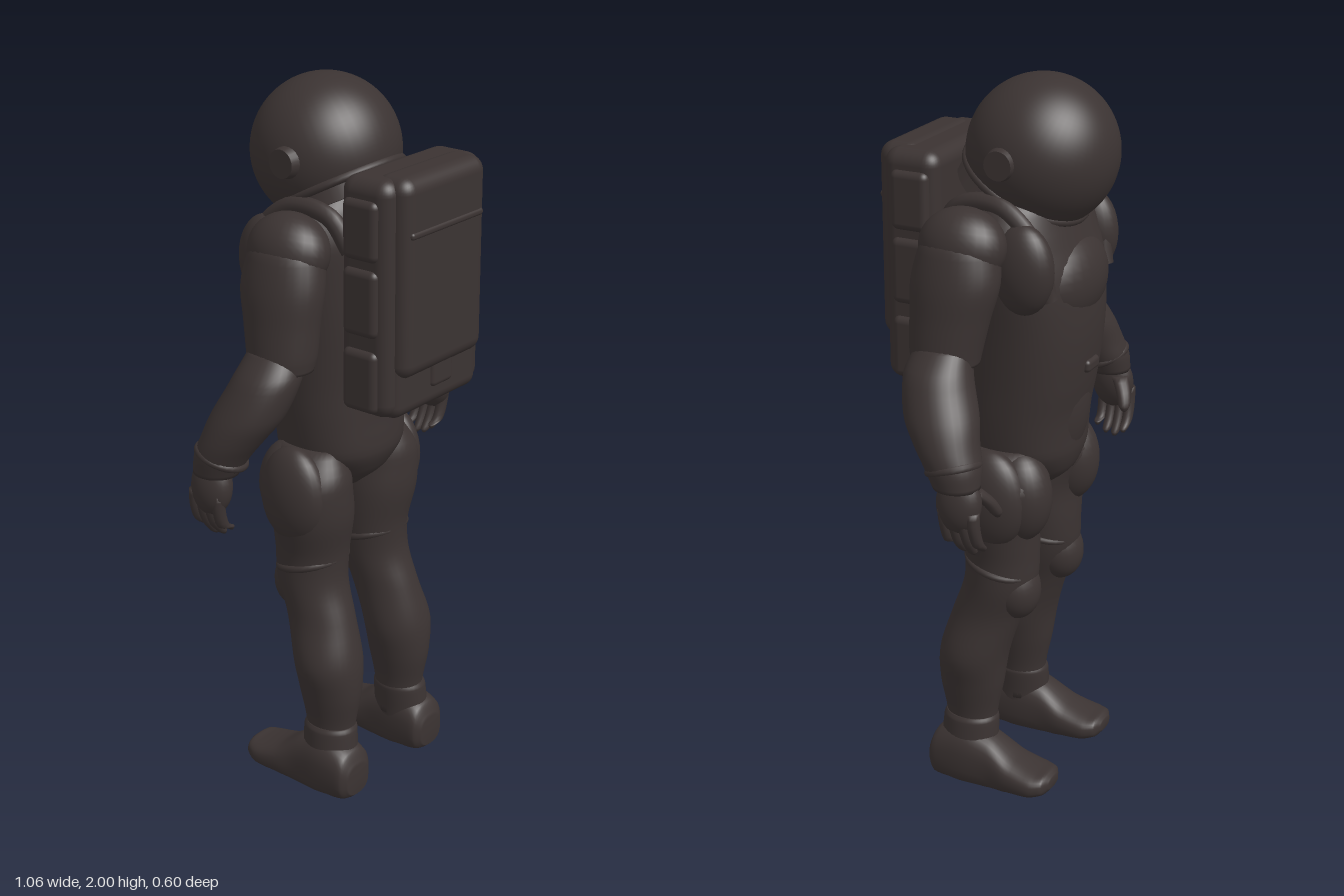
import * as THREE from 'three';
import { RoundedBoxGeometry } from 'three/addons/geometries/RoundedBoxGeometry.js';

const suit = new THREE.MeshStandardMaterial({ color: 0x3b3332 });
suit.name = 'dark suit';

// Smooth body through elliptical sections [x, y, z, r1, r2], stacked along y or z.
function loft(sections, { axis = 'y', power = 2, steps = 5, sides = 32, floor = -Infinity } = {}) {
  const k = axis === 'y' ? 1 : 2;
  const list = sections[0][k] < sections[sections.length - 1][k] ? sections : [...sections].reverse();
  const path = new THREE.CatmullRomCurve3(list.map(s => new THREE.Vector3(s[0], s[1], s[2])));
  const radii = new THREE.CatmullRomCurve3(list.map(s => new THREE.Vector3(s[3], s[4], 0)));
  const rows = (list.length - 1) * steps;
  const pos = [], idx = [];
  const bend = v => Math.sign(v) * Math.pow(Math.abs(v), 2 / power);
  const add = (x, y, z) => pos.push(x, Math.max(floor, y), z);
  for (let i = 0; i <= rows; i++) {
    const p = path.getPoint(i / rows), r = radii.getPoint(i / rows);
    for (let j = 0; j < sides; j++) {
      const a = j / sides * Math.PI * 2;
      const u = r.x * bend(Math.cos(a)), v = r.y * bend(Math.sin(a));
      if (axis === 'y') add(p.x + u, p.y, p.z + v);
      else add(p.x + u, p.y - v, p.z);
    }
  }
  for (let i = 0; i < rows; i++) for (let j = 0; j < sides; j++) {
    const a = i * sides + j, b = i * sides + (j + 1) % sides;
    idx.push(a, a + sides, b, b, a + sides, b + sides);
  }
  // End caps
  const first = list[0], last = list[list.length - 1], c = pos.length / 3, top = rows * sides;
  add(first[0], first[1], first[2]);
  add(last[0], last[1], last[2]);
  for (let j = 0; j < sides; j++) {
    const n = (j + 1) % sides;
    idx.push(c, j, n, c + 1, top + n, top + j);
  }
  const g = new THREE.BufferGeometry();
  g.setAttribute('position', new THREE.Float32BufferAttribute(pos, 3));
  g.setIndex(idx);
  g.computeVertexNormals();
  return g;
}

export function createModel() {
  const model = new THREE.Group();
  model.name = 'spacesuit figure';
  const part = (name, geometry, x = 0, y = 0, z = 0, rx = 0, ry = 0, rz = 0) => {
    const m = new THREE.Mesh(geometry, suit);
    m.name = name;
    m.position.set(x, y, z);
    m.rotation.set(rx, ry, rz);
    model.add(m);
    return m;
  };
  const blob = (name, x, y, z, a, b, c, rx = 0, rz = 0) =>
    part(name, new THREE.SphereGeometry(1, 28, 18).scale(a, b, c), x, y, z, rx, 0, rz);
  const box = (name, w, h, d, x, y, z, r = 0.03) =>
    part(name, new RoundedBoxGeometry(w, h, d, 4, r), x, y, z);

  // Torso, chest and belly panel
  part('torso', loft([
    [0, 0.87, -0.06, 0.04, 0.06], [0, 0.93, -0.06, 0.12, 0.13], [0, 1.0, -0.055, 0.175, 0.158],
    [0, 1.1, -0.06, 0.187, 0.16], [0, 1.2, -0.07, 0.195, 0.168], [0, 1.35, -0.075, 0.21, 0.178],
    [0, 1.5, -0.07, 0.23, 0.172], [0, 1.6, -0.055, 0.235, 0.155], [0, 1.68, -0.05, 0.2, 0.135],
    [0, 1.74, -0.05, 0.13, 0.11],
  ], { power: 2.3, sides: 48 }));
  blob('chestPlate', 0, 1.47, -0.16, 0.17, 0.13, 0.105);
  blob('bellyPanel', 0, 1.13, -0.14, 0.12, 0.2, 0.09);
  box('beltUnit', 0.07, 0.035, 0.03, 0, 1.24, -0.24, 0.012);

  // Helmet with a tilted rim
  const helmet = new THREE.Group();
  helmet.name = 'helmet';
  helmet.position.set(0, 1.8, -0.1);
  helmet.rotation.x = -0.5;
  const shell = part('helmetShell', new THREE.SphereGeometry(0.2, 48, 32, 0, Math.PI * 2, 0, Math.PI * 0.667));
  const under = part('helmetBase', new THREE.CircleGeometry(0.173, 48), 0, -0.1, 0, Math.PI / 2);
  const rim = part('helmetRim', new THREE.TorusGeometry(0.172, 0.012, 12, 48), 0, -0.098, 0, Math.PI / 2);
  const collar = part('neckRing', new THREE.CylinderGeometry(0.16, 0.175, 0.05, 48), 0, -0.122, 0);
  helmet.add(shell, under, rim, collar);
  model.add(helmet);

  // Backpack
  box('packBody', 0.41, 0.63, 0.16, 0, 1.495, 0.185, 0.04);
  box('packBackPanel', 0.345, 0.53, 0.12, 0, 1.55, 0.238, 0.04);
  box('packLowerPocket', 0.36, 0.2, 0.1, 0, 1.275, 0.225, 0.035);
  box('packFlap', 0.09, 0.17, 0.04, 0.01, 1.315, 0.265, 0.015);
  box('packRidge', 0.3, 0.02, 0.03, 0, 1.67, 0.287, 0.009);

  for (const s of [1, -1]) {
    const side = s > 0 ? 'left' : 'right';
    const named = n => side + n;
    const mirrored = list => list.map(([x, ...rest]) => [x * s, ...rest]);

    // Helmet ear cap
    part(named('EarCap'), new THREE.CylinderGeometry(0.038, 0.05, 0.05, 24), s * 0.187, 1.805, -0.075, 0, 0, -s * Math.PI / 2);

    // Pack side pouches
    for (const [y, h] of [[1.28, 0.17], [1.49, 0.18], [1.68, 0.16]])
      box(named('PackPouch'), 0.05, h, 0.11, s * 0.194, y, 0.18, 0.02);

    // Shoulder strap
    part(named('Strap'), new THREE.TubeGeometry(new THREE.CatmullRomCurve3([
      new THREE.Vector3(s * 0.16, 1.6, 0.11), new THREE.Vector3(s * 0.17, 1.68, 0.05),
      new THREE.Vector3(s * 0.18, 1.69, -0.07), new THREE.Vector3(s * 0.185, 1.6, -0.17),
      new THREE.Vector3(s * 0.17, 1.46, -0.2),
    ]), 30, 0.025, 10));
    blob(named('ChestPad'), s * 0.195, 1.54, -0.14, 0.058, 0.12, 0.085);

    // Upper arm: shoulder cap, sleeve and cuff
    blob(named('ShoulderCap'), s * 0.265, 1.605, -0.005, 0.09, 0.1, 0.118, 0, s * 0.3);
    part(named('UpperArm'), loft(mirrored([
      [0.26, 1.66, -0.005, 0.05, 0.07], [0.275, 1.61, -0.002, 0.085, 0.105],
      [0.295, 1.52, 0, 0.09, 0.12], [0.31, 1.43, 0.008, 0.085, 0.108],
      [0.32, 1.35, 0.015, 0.083, 0.098], [0.325, 1.315, 0.015, 0.078, 0.092],
    ])));

    // Forearm
    part(named('Forearm'), loft(mirrored([
      [0.335, 1.37, 0.01, 0.06, 0.07], [0.37, 1.3, 0.01, 0.088, 0.09],
      [0.41, 1.21, -0.018, 0.092, 0.098], [0.44, 1.14, -0.05, 0.083, 0.085],
      [0.455, 1.09, -0.075, 0.073, 0.075], [0.465, 1.04, -0.09, 0.058, 0.062],
    ])));
    part(named('GloveCuff'), new THREE.TorusGeometry(0.063, 0.012, 10, 28), s * 0.457, 1.085, -0.077, Math.PI / 2 + 0.3, s * 0.2, 0);

    // Hand with four fingers and a thumb
    blob(named('Palm'), s * 0.472, 1.0, -0.1, 0.044, 0.08, 0.062, 0, s * 0.1);
    for (let i = 0; i < 4; i++) {
      const z = -0.145 + i * 0.027, tip = 0.845 + [0.015, 0, 0.005, 0.025][i];
      part(named('Finger'), loft(mirrored([
        [0.485, 0.985, z, 0.02, 0.018], [0.483, 0.94, z - 0.003, 0.019, 0.016],
        [0.465, 0.89, z - 0.005, 0.018, 0.015], [0.442, tip + 0.01, z - 0.005, 0.014, 0.012],
        [0.436, tip, z - 0.005, 0.005, 0.005],
      ]), { sides: 12, steps: 3 }));
    }
    part(named('Thumb'), loft(mirrored([
      [0.45, 1.03, -0.13, 0.026, 0.024], [0.42, 0.995, -0.155, 0.022, 0.021],
      [0.4, 0.96, -0.168, 0.017, 0.017], [0.395, 0.945, -0.17, 0.007, 0.007],
    ]), { sides: 12, steps: 3 }));

    // Leg with hip, thigh and knee pads
    part(named('Leg'), loft(mirrored([
      [0.13, 1.02, -0.05, 0.06, 0.09], [0.145, 0.92, -0.055, 0.11, 0.133],
      [0.14, 0.82, -0.04, 0.112, 0.116], [0.131, 0.71, -0.048, 0.1, 0.104],
      [0.135, 0.62, -0.045, 0.094, 0.102], [0.142, 0.52, -0.01, 0.087, 0.1],
      [0.155, 0.4, 0.025, 0.097, 0.098], [0.155, 0.3, 0.034, 0.08, 0.092],
      [0.155, 0.2, 0.035, 0.062, 0.074], [0.155, 0.1, 0.035, 0.058, 0.07],
    ]), { sides: 36 }));
    blob(named('HipPad'), s * 0.205, 0.89, -0.05, 0.064, 0.14, 0.105);
    blob(named('ThighPad'), s * 0.15, 0.89, -0.11, 0.08, 0.13, 0.09);
    blob(named('KneePad'), s * 0.137, 0.61, -0.085, 0.075, 0.095, 0.075, 0.25);
    part(named('ThighBand'), new THREE.TorusGeometry(0.094, 0.011, 10, 32), s * 0.132, 0.675, -0.047, Math.PI / 2 - 0.25);

    // Boot shaft and foot, flat on the ground
    part(named('BootShaft'), loft(mirrored([
      [0.168, 0.05, 0.04, 0.07, 0.095], [0.163, 0.12, 0.038, 0.067, 0.084],
      [0.158, 0.185, 0.036, 0.067, 0.08], [0.157, 0.2, 0.036, 0.06, 0.073],
    ])));
    part(named('Foot'), loft(mirrored([
      [0.17, 0.05, 0.145, 0.045, 0.045], [0.17, 0.06, 0.125, 0.068, 0.075],
      [0.17, 0.065, 0.04, 0.074, 0.1], [0.17, 0.055, -0.04, 0.07, 0.085],
      [0.172, 0.042, -0.11, 0.076, 0.052], [0.174, 0.036, -0.18, 0.076, 0.038],
      [0.174, 0.04, -0.215, 0.06, 0.03], [0.174, 0.042, -0.23, 0.03, 0.015],
    ]), { axis: 'z', power: 2.5, floor: 0 }));
  }
  return model;
}
